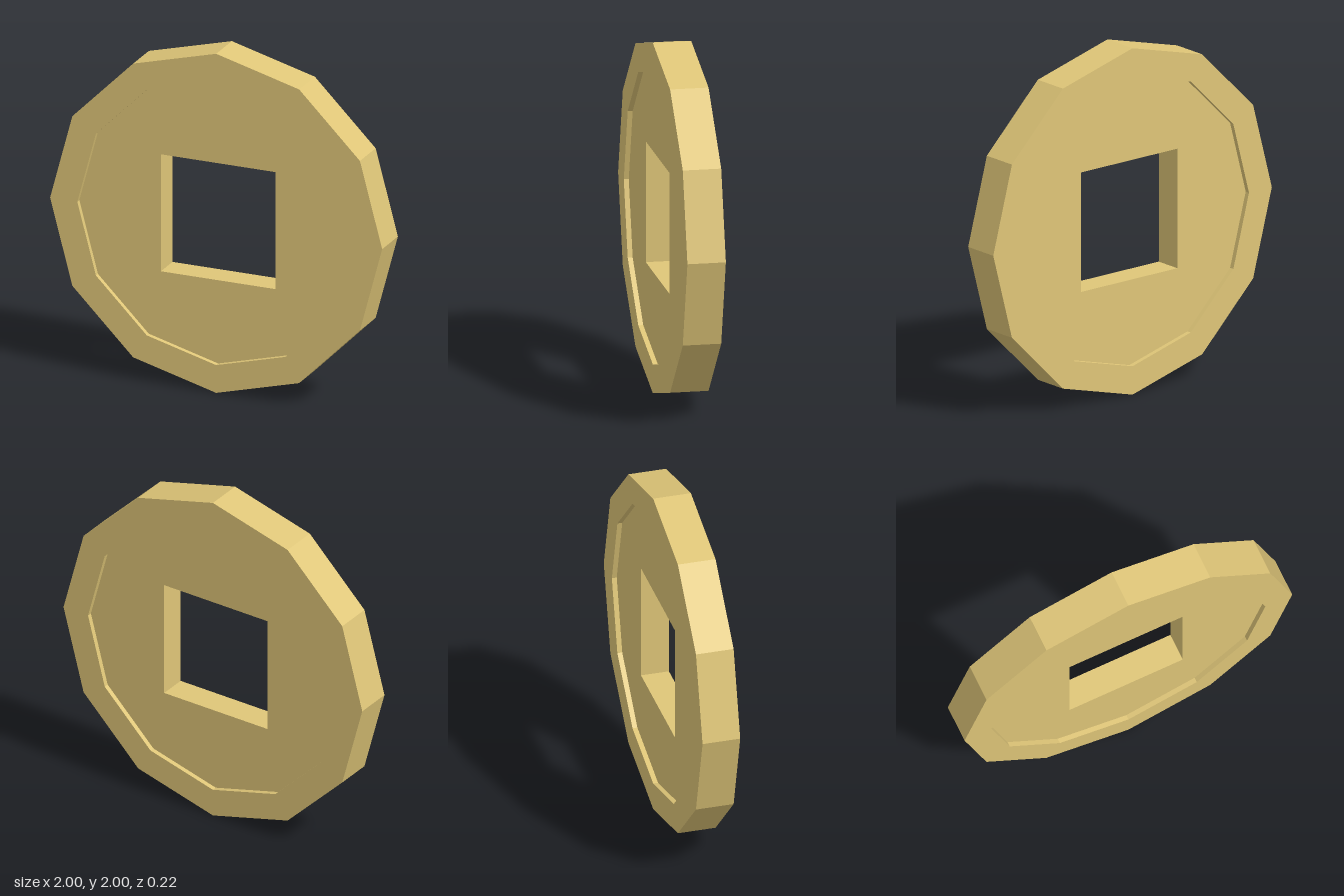
import * as THREE from 'three';

const SIDES = 12;
const RIM_RADIUS = 1, RECESS_RADIUS = 0.836, HOLE_HALF = 0.345;
const RIM_DEPTH = 0.216, PLATE_DEPTH = 0.16;

// Regular polygon with a corner pointing straight up, counter-clockwise
function polygon(radius) {
  return Array.from({ length: SIDES }, (_, i) => {
    const a = (i / SIDES) * Math.PI * 2;
    return new THREE.Vector2(-Math.sin(a) * radius, Math.cos(a) * radius);
  });
}

// Flat slab with one hole, centred on z = 0
function slab(name, outline, hole, depth, material) {
  const shape = new THREE.Shape(outline);
  shape.holes.push(new THREE.Path(hole));
  const geometry = new THREE.ExtrudeGeometry(shape, { depth, bevelEnabled: false });
  geometry.translate(0, 1, -depth / 2);
  const mesh = new THREE.Mesh(geometry, material);
  mesh.name = name;
  return mesh;
}

export function createModel() {
  const coin = new THREE.Group();
  coin.name = 'coin';
  const brass = new THREE.MeshStandardMaterial({ color: 0xdfc678, flatShading: true });

  const h = HOLE_HALF;
  const square = [[-h, -h], [h, -h], [h, h], [-h, h]].map(([x, y]) => new THREE.Vector2(x, y));

  // Raised rim around a thinner plate, recessed on both faces
  coin.add(slab('rim', polygon(RIM_RADIUS), polygon(RECESS_RADIUS), RIM_DEPTH, brass));
  coin.add(slab('plate', polygon(RECESS_RADIUS), square, PLATE_DEPTH, brass));
  return coin;
}
